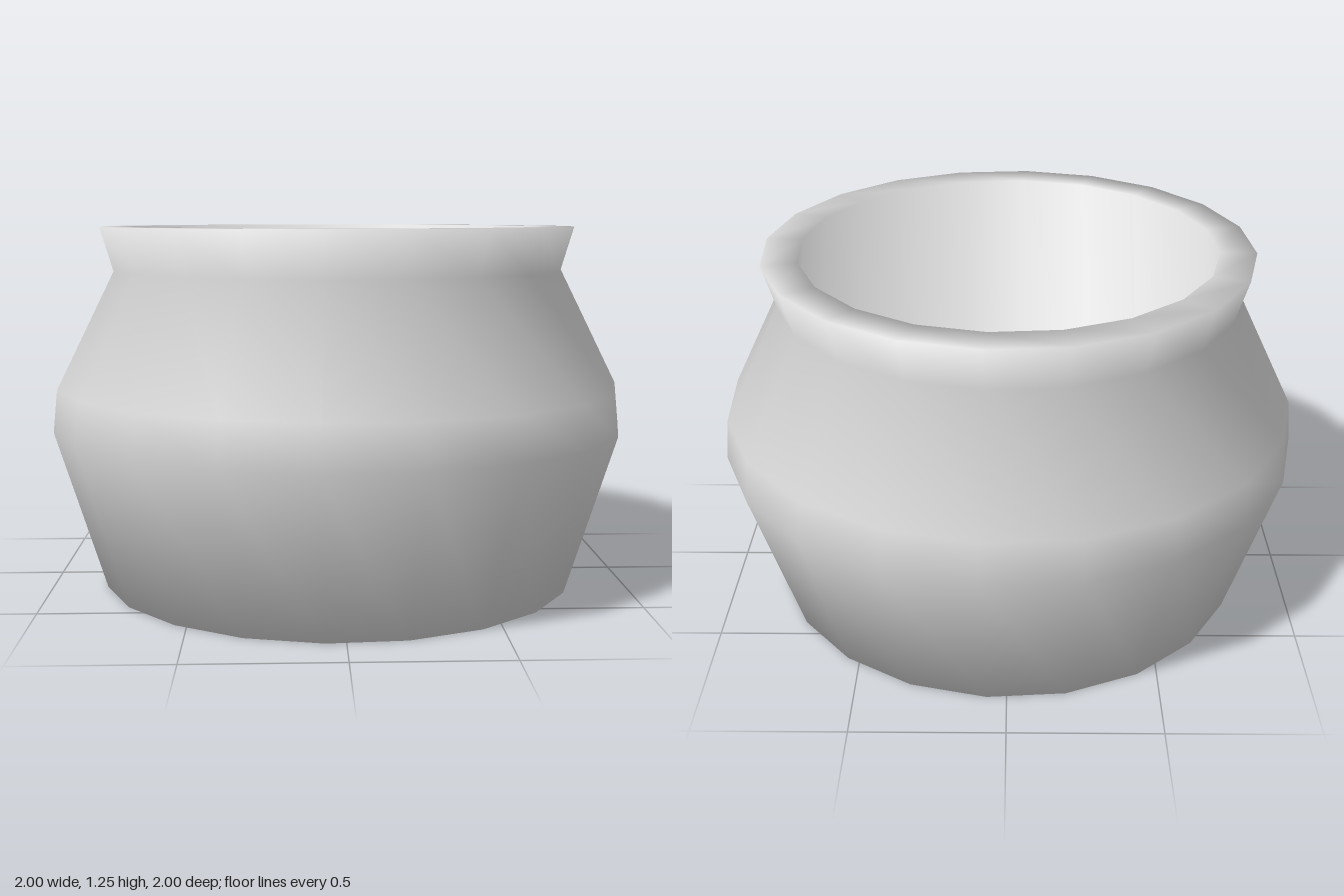
import * as THREE from 'three';

const SIDES = 20;
const PHASE = THREE.MathUtils.degToRad(-4.5);

// Profile from the centre of the base, up the outside, over the lip and down to the inner floor
const PROFILE = [
  [0, 0], [0.832, 0], [1.003, 0.555], [0.988, 0.7], [0.788, 1.1],
  [0.832, 1.25], [0.709, 1.25], [0.82, 0.14], [0, 0.14],
].map(([r, y]) => new THREE.Vector2(r, y));

// Smooth normal at each profile point: equal blend of its two neighbouring segments
function profileNormals(points) {
  const segments = points.slice(1).map((p, i) => {
    const d = p.clone().sub(points[i]).normalize();
    return new THREE.Vector2(d.y, -d.x);
  });
  return points.map((_, j) => {
    const before = segments[Math.max(j - 1, 0)];
    const after = segments[Math.min(j, segments.length - 1)];
    return before.clone().add(after).normalize();
  });
}

// Revolve the profile and apply the blended normals
function revolve(points) {
  const geometry = new THREE.LatheGeometry(points, SIDES, PHASE);
  const normals = profileNormals(points);
  const attribute = geometry.attributes.normal;
  for (let i = 0; i <= SIDES; i++) {
    const phi = PHASE + (i / SIDES) * Math.PI * 2;
    normals.forEach((n, j) => {
      attribute.setXYZ(i * points.length + j, n.x * Math.sin(phi), n.y, n.x * Math.cos(phi));
    });
  }
  return geometry;
}

export function createModel() {
  const clay = new THREE.MeshStandardMaterial({ color: 0xdadada });
  clay.name = 'pale grey clay';

  const pot = new THREE.Mesh(revolve(PROFILE), clay);
  pot.name = 'pot';

  const group = new THREE.Group();
  group.name = 'roundPot';
  group.add(pot);
  return group;
}
